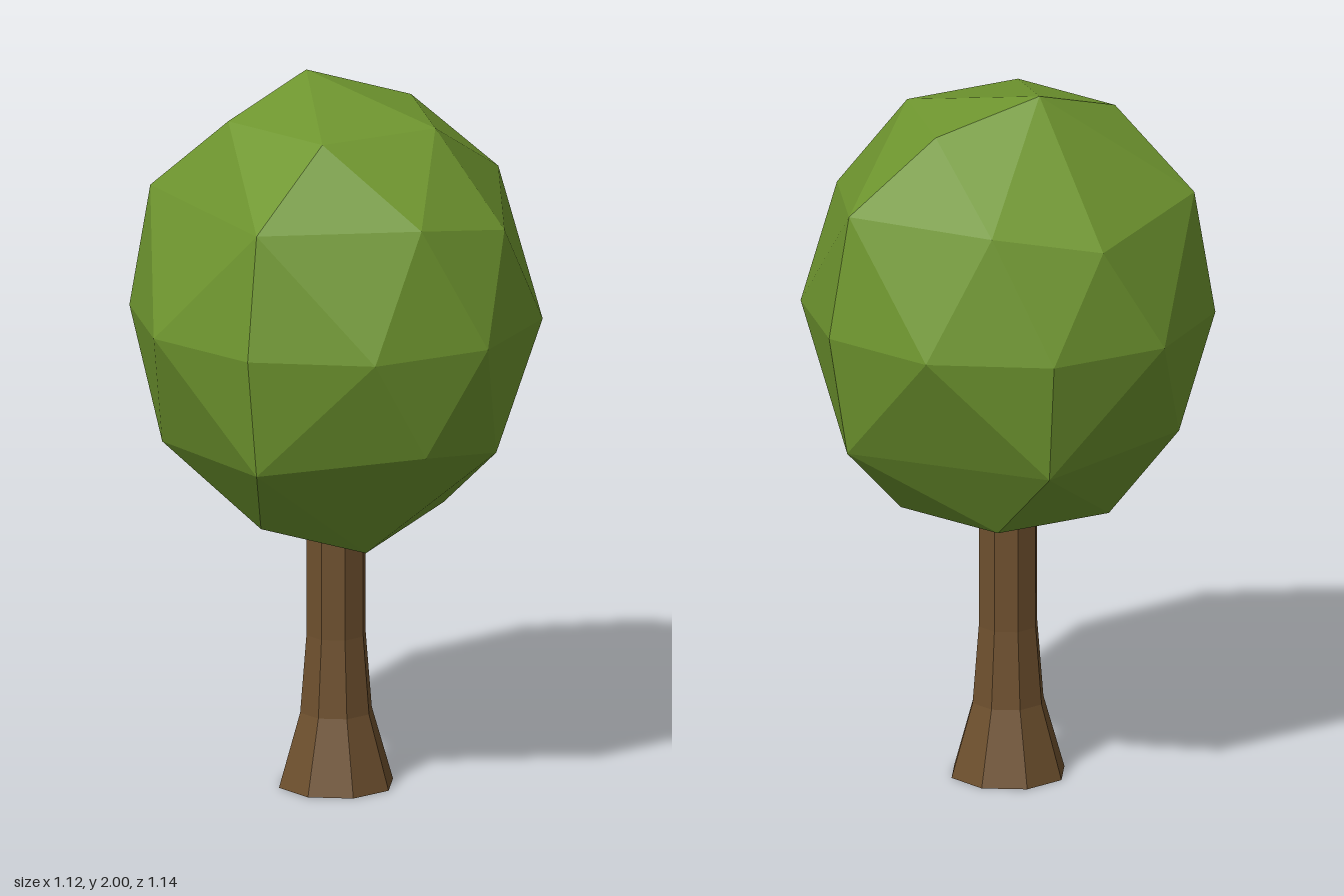
import * as THREE from 'three';
import { ConvexGeometry } from 'three/addons/geometries/ConvexGeometry.js';

const CENTER_Y = 1.348;

// Points on a horizontal ring: angles in degrees from +x towards +z
function ring(radius, dy, angles) {
  return angles.map((a) => {
    const t = THREE.MathUtils.degToRad(a);
    return new THREE.Vector3(radius * Math.cos(t), CENTER_Y + dy, radius * Math.sin(t));
  });
}

// Faceted crown: hull of rings from the bottom tip to the top tip
function crownGeometry() {
  const equator = Array.from({ length: 10 }, (_, i) => -12 + 36 * i);
  const points = [
    new THREE.Vector3(-0.037, 2, -0.16),
    ...ring(0.302, 0.56, [-30, 42, 114, 186]),
    ...ring(0.487, 0.348, [78, 294]),
    ...ring(0.515, 0.345, [-13, 132, 204]),
    ...ring(0.512, 0.295, [42, 258]),
    ...ring(0.573, 0, equator),
    ...ring(0.512, -0.295, [78, 222]),
    ...ring(0.515, -0.342, [-12, 132, 276]),
    ...ring(0.487, -0.345, [42, 186]),
    ...ring(0.302, -0.56, [6, 150, 222, 294]),
    new THREE.Vector3(0.037, 0.697, 0.16),
  ];
  return new ConvexGeometry(points);
}

// Eight-sided trunk flaring at the foot
function trunkGeometry() {
  const profile = [[0, 0], [0.164, 0], [0.103, 0.21], [0.085, 0.43], [0.084, 0.95], [0, 0.95]];
  const lathe = new THREE.LatheGeometry(profile.map(([r, y]) => new THREE.Vector2(r, y)), 8);
  const flat = lathe.toNonIndexed();
  flat.computeVertexNormals();
  return flat;
}

export function createModel() {
  const leafGreen = new THREE.MeshStandardMaterial({ color: 0x6f962f });
  leafGreen.name = 'leafGreen';
  leafGreen.flatShading = true;
  const barkBrown = new THREE.MeshStandardMaterial({ color: 0x6e502e });
  barkBrown.name = 'barkBrown';
  barkBrown.flatShading = true;

  const crown = new THREE.Mesh(crownGeometry(), leafGreen);
  crown.name = 'crown';
  const trunk = new THREE.Mesh(trunkGeometry(), barkBrown);
  trunk.name = 'trunk';

  const tree = new THREE.Group();
  tree.name = 'tree';
  tree.add(crown, trunk);
  return tree;
}
